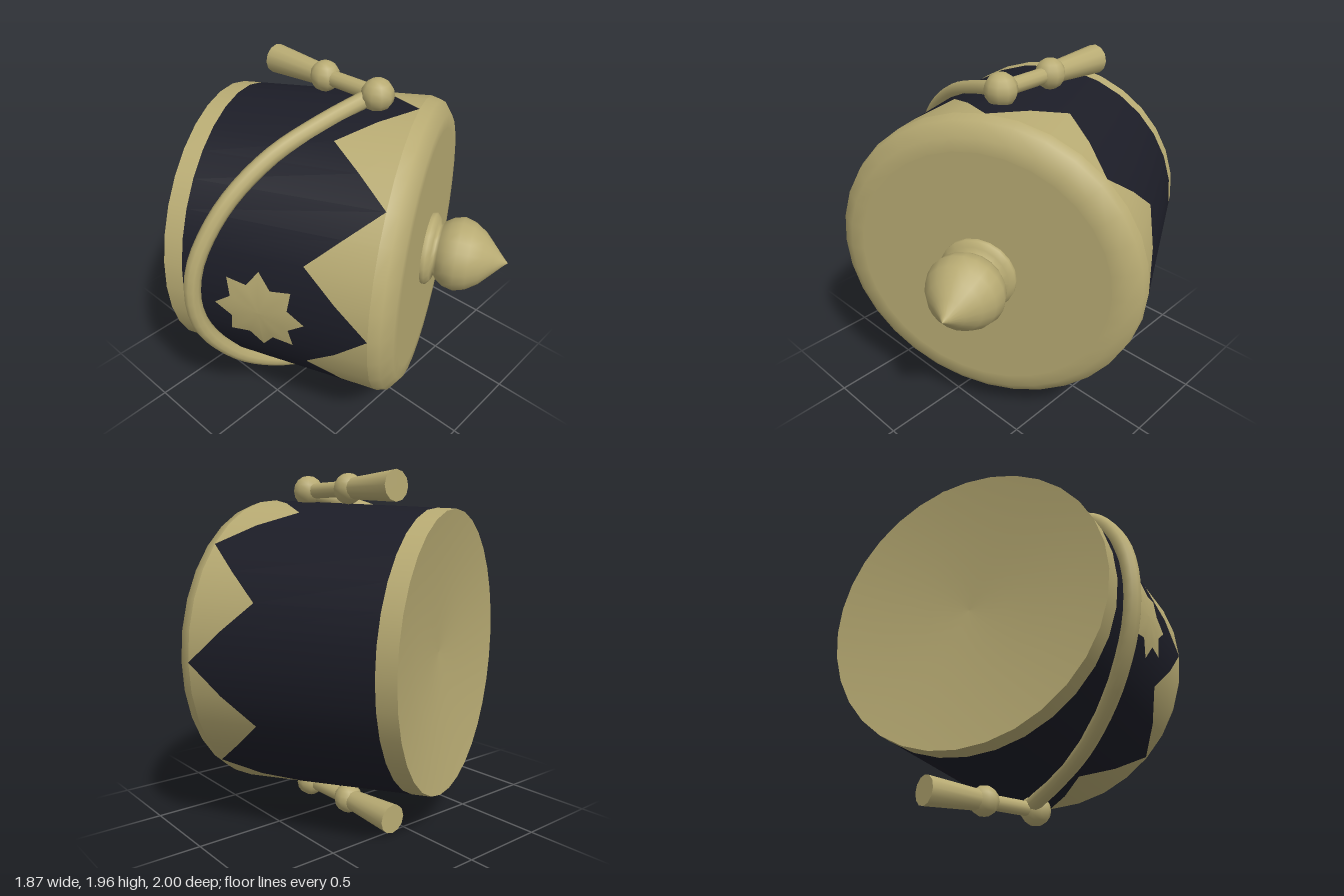
import * as THREE from 'three';

const mat = (name, color) => {
  const m = new THREE.MeshStandardMaterial({ color });
  m.name = name;
  return m;
};

export function createModel() {
  const khaki = mat('khaki', 0xb8ab73);
  const navy = mat('navy', 0x1c1d27);
  const model = new THREE.Group();
  model.name = 'tallHat';

  const add = (parent, name, geometry, material) => {
    const mesh = new THREE.Mesh(geometry, material);
    mesh.name = name;
    parent.add(mesh);
    return mesh;
  };
  const lathe = (pts, n) => new THREE.LatheGeometry(pts.map(p => new THREE.Vector2(...p)), n);

  // Hat lying on its side: local y is the hat's axis, local z the decorated front
  const hat = new THREE.Group();
  hat.name = 'hat';
  hat.matrix.makeBasis(
    new THREE.Vector3(0, -1, 0),
    new THREE.Vector3(0.911, 0, -0.412),
    new THREE.Vector3(0.412, 0, 0.911));
  hat.matrix.scale(new THREE.Vector3(0.977, 1, 1)).setPosition(-0.608, 0.98, 0.253);
  hat.matrix.decompose(hat.position, hat.quaternion, hat.scale);
  model.add(hat);

  const SIDES = 32, SHOULDER = 1.125, TOP = 1.237;
  const radiusAt = s => 0.798 + 0.0565 * s;

  // Strip of the tapered wall between two heights that may vary with the angle
  const wallStrip = (low, high) => {
    const g = lathe([[1, 0], [1, 1]], SIDES);
    const { position: p, uv } = g.attributes;
    for (let i = 0; i < p.count; i++) {
      const turn = uv.getX(i), a = turn * Math.PI * 2;
      const s = THREE.MathUtils.lerp(low(turn), high(turn), uv.getY(i));
      const r = radiusAt(s);
      p.setXYZ(i, r * Math.sin(a), s, r * Math.cos(a));
    }
    return g;
  };
  // Eight pointed teeth around the wall
  const zigzag = turn => {
    const f = (turn * 8) % 1;
    return 0.775 + (SHOULDER - 0.775) * Math.abs(1 - 2 * f);
  };
  add(hat, 'rimBand', wallStrip(() => 0, () => 0.107), khaki);
  add(hat, 'darkWall', wallStrip(() => 0.107, zigzag), navy);
  add(hat, 'toothedBand', wallStrip(zigzag, () => SHOULDER), khaki);

  // Slightly dished base, rounded shoulder and flat crown
  add(hat, 'base', lathe([[0, 0.08], [0.4, 0.06], [0.798, 0]], SIDES), khaki);
  add(hat, 'shoulder', lathe([
    [radiusAt(SHOULDER), SHOULDER], [0.845, 1.183], [0.773, TOP - 0.002], [0.7, TOP]], SIDES), khaki);
  add(hat, 'crown', lathe([[0.7, TOP], [0, TOP]], SIDES), khaki);

  // Onion-shaped finial on a small collar
  add(hat, 'finial', lathe([
    [0.21, TOP], [0.212, 1.26], [0.185, 1.283], [0.145, 1.295], [0.172, 1.315], [0.202, 1.36],
    [0.215, 1.42], [0.195, 1.485], [0.15, 1.55], [0.085, 1.61], [0.03, 1.66], [0, 1.69]], 20), khaki)
    .position.z = 0.01;

  // Eight-pointed star wrapped onto the front of the wall
  const star = new THREE.RingGeometry(0.001, 1, 16, 5);
  const sp = star.attributes.position;
  for (let i = 0; i < sp.count; i++) {
    const k = (i % 17) % 2 ? 0.172 : 0.25;
    const s = 0.546 + sp.getY(i) * k;
    const r = radiusAt(s) + 0.007, a = sp.getX(i) * k / r;
    sp.setXYZ(i, r * Math.sin(a), s, r * Math.cos(a));
  }
  star.computeVertexNormals();
  add(hat, 'star', star, khaki);

  // Chin strap: one curved cord in a slanted upright plane, resting on the wall
  const half = [[-0.1, 0.87], [0.18, 0.8], [0.46, 0.7], [0.68, 0.55], [0.82, 0.39], [0.92, 0.2]];
  const path = [...half, [0.952, 0], ...half.map(([z, y]) => [z, -y]).reverse()]
    .map(([z, y]) => new THREE.Vector3(0.175 - (z + 0.1) * 0.25, 0.98 + y, z));
  add(model, 'chinStrap', new THREE.TubeGeometry(new THREE.CatmullRomCurve3(path), 40, 0.045, 10), khaki);

  // A toggle with two balls and a flared handle at each end of the strap
  for (const [name, y] of [['upperToggle', 1.869], ['lowerToggle', 0.09]]) {
    const toggle = new THREE.Group();
    toggle.name = name;
    toggle.position.set(0, y, -0.115);
    model.add(toggle);
    add(toggle, 'endBall', new THREE.SphereGeometry(0.089, 10, 8), khaki).position.x = 0.217;
    add(toggle, 'middleBall', new THREE.SphereGeometry(0.084, 10, 8), khaki).position.x = -0.153;
    const rod = add(toggle, 'rod', new THREE.CylinderGeometry(0.043, 0.043, 0.37, 12), khaki);
    rod.rotation.z = Math.PI / 2;
    rod.position.x = 0.03;
    const handle = add(toggle, 'handle', new THREE.CylinderGeometry(0.081, 0.056, 0.38, 12), khaki);
    handle.rotation.z = Math.PI / 2;
    handle.position.x = -0.345;
  }
  return model;
}
